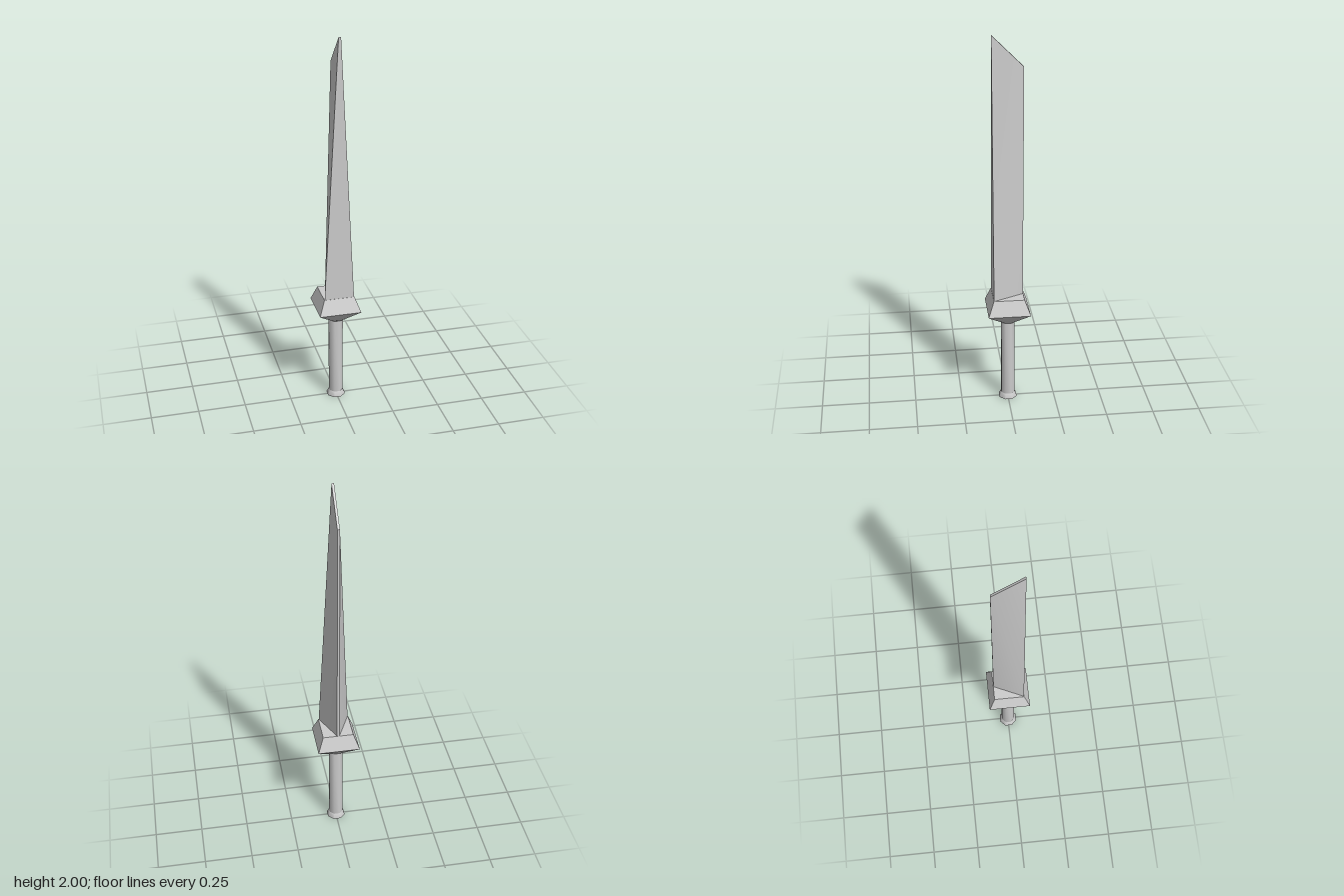
import * as THREE from 'three';
import { toCreasedNormals } from 'three/addons/utils/BufferGeometryUtils.js';

const material = new THREE.MeshStandardMaterial({ color: 0xcccccc });

// Eight points around y: half = half width, cut = half length of the flat
// (cut equal to half gives a square with doubled corners).
function ring(y, half, cut) {
  return [[half, -cut], [half, cut], [cut, half], [-cut, half],
    [-half, cut], [-half, -cut], [-cut, -half], [cut, -half]]
    .map(([x, z]) => new THREE.Vector3(x, y, z));
}
const octagon = (y, half) => ring(y, half, half * Math.tan(Math.PI / 8));
const square = (y, half) => ring(y, half, half);

// Skins stacked rings from bottom to top and closes both ends.
function loft(name, rings) {
  const pos = [];
  const tri = (a, b, c) => {
    const area = new THREE.Triangle(a, b, c).getArea();
    if (area > 1e-9) [a, b, c].forEach((p) => pos.push(p.x, p.y, p.z));
  };
  const n = rings[0].length;
  for (let r = 0; r < rings.length - 1; r++) {
    const lo = rings[r], hi = rings[r + 1];
    for (let i = 0; i < n; i++) {
      const j = (i + 1) % n;
      tri(lo[i], hi[i], hi[j]);
      tri(lo[i], hi[j], lo[j]);
    }
  }
  const bottom = rings[0], top = rings[rings.length - 1];
  for (let i = 1; i < n - 1; i++) {
    tri(bottom[0], bottom[i], bottom[i + 1]);
    tri(top[0], top[i + 1], top[i]);
  }
  const geometry = new THREE.BufferGeometry();
  geometry.setAttribute('position', new THREE.Float32BufferAttribute(pos, 3));
  const mesh = new THREE.Mesh(toCreasedNormals(geometry, 0.87), material);
  mesh.name = name;
  return mesh;
}

// Wedge blade: wide front at the base, thin back edge, slanted tip.
function createBlade() {
  const v = (x, y, z) => new THREE.Vector3(x, y, z);
  const thin = 0.006, wide = 0.078, z = 0.079, base = 0.62;
  const lower = [v(wide, base, z), v(-wide, base, z), v(-thin, base, -z), v(thin, base, -z)];
  const upper = [v(thin, 2, z), v(-thin, 2, z), v(-thin, 1.842, -z), v(thin, 1.842, -z)];
  const pos = [];
  const tri = (...points) => points.forEach((p) => pos.push(p.x, p.y, p.z));
  const quad = (a, b, c, d) => { tri(a, b, c); tri(a, c, d); };
  quad(lower[1], lower[0], upper[0], upper[1]); // front
  quad(lower[3], lower[2], upper[2], upper[3]); // back
  quad(lower[0], lower[3], upper[3], upper[0]); // left side
  tri(lower[1], upper[1], upper[2]); // right side
  tri(lower[1], upper[2], lower[2]);
  quad(upper[0], upper[3], upper[2], upper[1]); // tip
  quad(lower[0], lower[1], lower[2], lower[3]); // underside
  const geometry = new THREE.BufferGeometry();
  geometry.setAttribute('position', new THREE.Float32BufferAttribute(pos, 3));
  const mesh = new THREE.Mesh(toCreasedNormals(geometry, 0.6), material);
  mesh.name = 'blade';
  return mesh;
}

export function createModel() {
  const sword = new THREE.Group();
  sword.name = 'sword';
  sword.add(
    loft('pommel', [octagon(0, 0.046), octagon(0.005, 0.046), octagon(0.028, 0.035)]),
    loft('handle', [octagon(0.028, 0.035), octagon(0.462, 0.035)]),
    loft('guard', [octagon(0.462, 0.035), square(0.54, 0.11), square(0.62, 0.08)]),
    createBlade(),
  );
  return sword;
}
